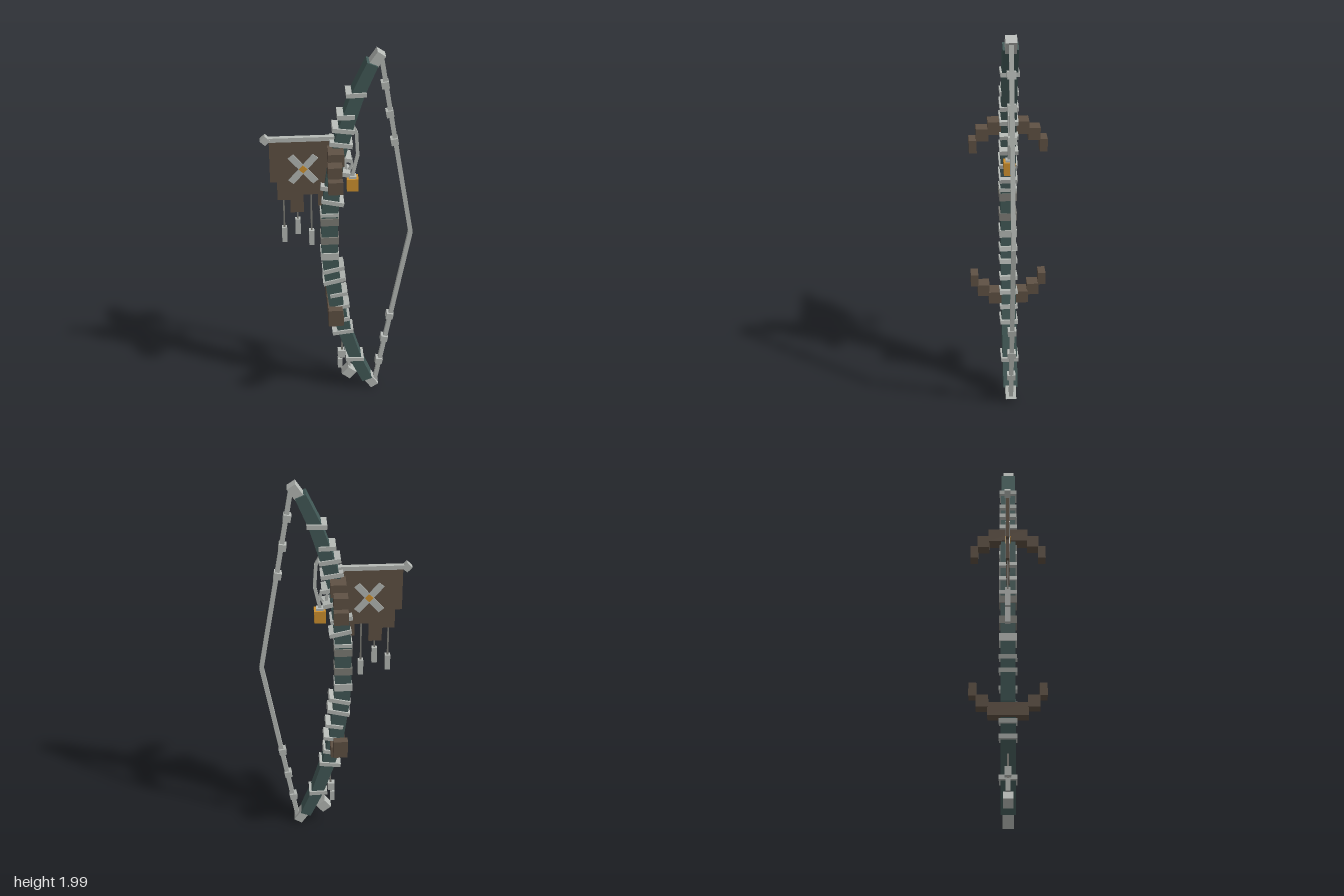
import * as THREE from 'three';

const mat = (name, color) => {
  const m = new THREE.MeshStandardMaterial({ color });
  m.name = name;
  return m;
};

export function createModel() {
  const teal = mat('teal wood', 0x425957);
  const grey = mat('pale grey', 0xb6bab6);
  const stone = mat('dull grey', 0x7d7c76);
  const brown = mat('brown', 0x5f5144);
  const gold = mat('gold', 0xd0922f);
  const group = new THREE.Group();

  const add = (name, geo, m, x = 0, y = 0, z = 0, rot = 0) => {
    const mesh = new THREE.Mesh(geo, m);
    mesh.name = name;
    mesh.position.set(x, y, z);
    mesh.rotation.z = rot;
    group.add(mesh);
    return mesh;
  };
  const box = (name, m, x, y, w, h, d, rot = 0, z = 0) =>
    add(name, new THREE.BoxGeometry(w, h, d), m, x, y, z, rot);
  // square bar between two points in the xy plane
  const beam = (name, m, a, b, w, d, z = 0) => {
    const dx = b[0] - a[0], dy = b[1] - a[1];
    return box(name, m, (a[0] + b[0]) / 2, (a[1] + b[1]) / 2, w, Math.hypot(dx, dy), d, Math.atan2(-dx, dy), z);
  };

  // curved stave: one rectangular section swept along the bow, [x, y, width]
  const path = [
    [0.153, 0.07, 0.055], [0.09, 0.22, 0.062], [0.033, 0.4, 0.068], [-0.012, 0.58, 0.074],
    [-0.036, 0.78, 0.08], [-0.045, 0.9, 0.082], [-0.045, 1.12, 0.082], [-0.036, 1.24, 0.08],
    [-0.012, 1.44, 0.074], [0.033, 1.61, 0.068], [0.09, 1.79, 0.062], [0.153, 1.935, 0.055],
  ];
  const left = [], right = [];
  path.forEach(([x, y, w], i) => {
    const p = path[Math.max(i - 1, 0)], q = path[Math.min(i + 1, path.length - 1)];
    const l = Math.hypot(q[0] - p[0], q[1] - p[1]);
    const nx = (q[1] - p[1]) / l * w / 2, ny = -(q[0] - p[0]) / l * w / 2;
    right.push(new THREE.Vector2(x + nx, y + ny));
    left.unshift(new THREE.Vector2(x - nx, y - ny));
  });
  add('stave', new THREE.ExtrudeGeometry(new THREE.Shape([...right, ...left]),
    { depth: 0.074, bevelEnabled: false }), teal, 0, 0, -0.037);

  // tips, bowstring and its beads, mirrored top and bottom
  for (const s of [1, -1]) {
    const Y = (v) => 1 + s * v;
    beam('tip', grey, [0.15, Y(0.915)], [0.195, Y(0.982)], 0.046, 0.054);
    beam('bowstring', grey, [0.195, Y(0.965)], [0.36, Y(0)], 0.022, 0.022);
    for (const [x, v] of [[0.216, 0.82], [0.241, 0.67], [0.267, 0.52]])
      box('stringBead', grey, x, Y(v), 0.036, 0.034, 0.042, s * 0.17);
  }

  // bands around the stave: x, y, width, height, tilt
  const bands = [
    [0.08, 1.785, 0.095, 0.022, 0.03], [0.032, 1.672, 0.082, 0.022, -0.03],
    [0.02, 1.6, 0.105, 0.022, -0.14], [0.01, 1.525, 0.11, 0.022, -0.16],
    [0.01, 1.45, 0.1, 0.02, -0.2], [0.005, 1.37, 0.1, 0.022, -0.22],
    [-0.035, 1.282, 0.11, 0.022, -0.22], [-0.03, 1.205, 0.11, 0.022, -0.22],
    [-0.027, 0.805, 0.11, 0.022, 0.24], [-0.022, 0.735, 0.115, 0.022, 0.24],
    [0, 0.65, 0.09, 0.02, 0.18], [0.008, 0.57, 0.095, 0.02, 0.2],
    [0.008, 0.485, 0.1, 0.022, 0.2], [0.022, 0.407, 0.11, 0.022, 0.12],
    [0.085, 0.22, 0.095, 0.022, -0.03],
  ];
  for (const [x, y, w, h, r] of bands) box('band', grey, x, y, w, h, 0.09, r);
  // grip wraps
  for (const [y, h, m] of [[1.135, 0.018, grey], [1.095, 0.04, stone], [0.985, 0.04, stone], [0.89, 0.04, grey]])
    box('gripWrap', m, -0.045, y, 0.09, h, 0.088);

  // stepped horns on both sides, near the top and near the bottom
  for (const s of [1, -1]) {
    const Y = (v) => 1.003 + s * v;
    box('hornRoot', brown, -0.017, Y(0.473), 0.076, 0.065, 0.2);
    for (const side of [1, -1]) {
      box('hornMiddle', brown, -0.025, Y(0.434), 0.069, 0.062, 0.06, 0, side * 0.126);
      box('hornEnd', brown, -0.025, Y(0.374), 0.07, 0.066, 0.038, 0, side * 0.172);
    }
  }

  // banner pole with a diamond cap
  box('bannerPole', grey, -0.185, 1.546, 0.33, 0.022, 0.022);
  box('poleCap', grey, -0.348, 1.546, 0.036, 0.036, 0.03, Math.PI / 4);

  // ragged cloth
  const cloth = [
    [-0.33, 1.537], [-0.33, 1.315], [-0.297, 1.315], [-0.297, 1.213], [-0.235, 1.213], [-0.235, 1.14],
    [-0.17, 1.14], [-0.17, 1.24], [-0.1, 1.24], [-0.1, 1.175], [-0.06, 1.175], [-0.02, 1.537],
  ].map(([x, y]) => new THREE.Vector2(x, y));
  add('bannerCloth', new THREE.ExtrudeGeometry(new THREE.Shape(cloth),
    { depth: 0.014, bevelEnabled: false }), brown, 0, 0, -0.007);

  // crossed emblem on both faces of the cloth
  for (const side of [1, -1]) {
    for (const r of [0.7, -0.7]) box('emblemArm', grey, -0.17, 1.385, 0.034, 0.185, 0.004, r, side * 0.009);
    box('emblemCentre', gold, -0.17, 1.385, 0.03, 0.03, 0.006, Math.PI / 4, side * 0.011);
  }

  // weights hanging on threads
  for (const [x, top, y] of [[-0.267, 1.22, 1.055], [-0.2, 1.15, 1.1], [-0.133, 1.25, 1.03]]) {
    beam('thread', stone, [x, top], [x, y - 0.01], 0.008, 0.008);
    box('weight', grey, x, y - 0.042, 0.026, 0.084, 0.026);
  }

  // looped cord with a gold charm
  const cord = [[0.055, 1.63], [0.085, 1.57], [0.092, 1.45], [0.065, 1.325]];
  for (let i = 0; i < 3; i++) beam('cord', grey, cord[i], cord[i + 1], 0.016, 0.016);
  const ring = [[0.03, 1.42], [0.06, 1.43], [0.066, 1.39], [0.04, 1.35]];
  ring.forEach((p, i) => beam('cordLoop', grey, p, ring[(i + 1) % 4], 0.013, 0.013));
  box('charm', gold, 0.068, 1.293, 0.056, 0.066, 0.054);
  box('charmCap', grey, 0.068, 1.329, 0.036, 0.014, 0.036);

  // lower pendants
  beam('pendantThread', grey, [0.062, 0.25], [0.056, 0.12], 0.014, 0.014);
  box('diamondPendant', grey, 0.056, 0.113, 0.056, 0.056, 0.05, Math.PI / 4 + 0.1);
  beam('smallThread', stone, [0.022, 0.33], [0.012, 0.16], 0.01, 0.01);
  box('smallBead', grey, 0.015, 0.238, 0.036, 0.045, 0.034);
  box('smallWeight', grey, 0.009, 0.172, 0.024, 0.06, 0.024);

  return group;
}
